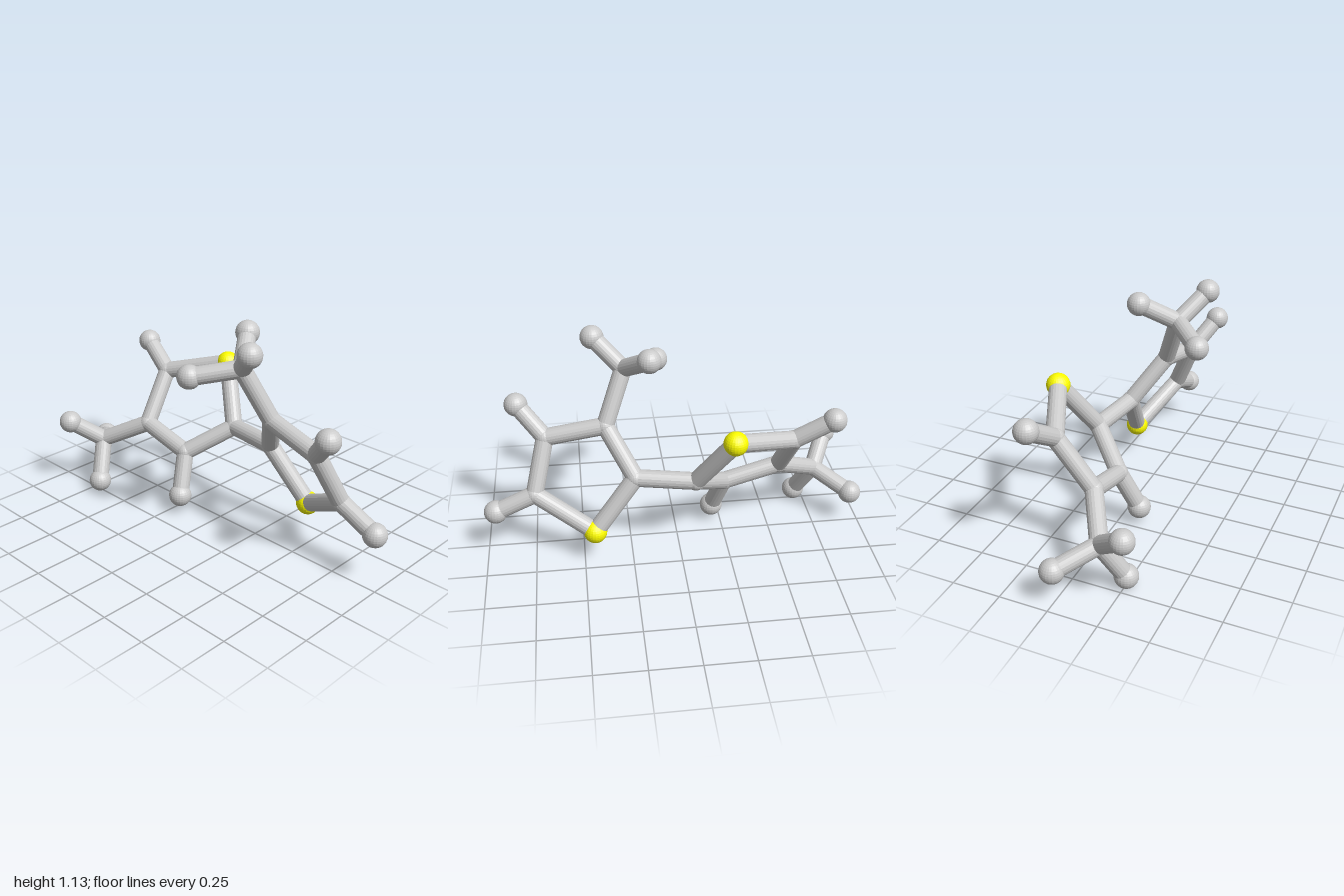
import * as THREE from 'three';

const STICK_RADIUS = 0.045;
const BALL_RADIUS = 0.06;
const JOINT_RADIUS = 0.048;

// Ring corners in order, starting at the yellow ball; 'tips' are [corner, end ball]
const leftRing = {
  corners: [[-0.245, 0.735, -0.31], [-0.075, 0.45, -0.18], [-0.25, 0.31, 0.015], [-0.54, 0.39, 0.02], [-0.57, 0.645, -0.16]],
  tips: [[2, [-0.2, 0.1, 0.105]], [4, [-0.755, 0.765, -0.2]]],
  branch: { corner: 3, hub: [-0.77, 0.265, 0.155], ends: [[-0.86, 0.39, 0.31], [-0.94, 0.19, 0], [-0.695, 0.065, 0.255]] },
};
const rightRing = {
  corners: [[0.44, 0.187, -0.185], [0.225, 0.46, -0.13], [0.36, 0.685, 0.02], [0.665, 0.62, 0.055], [0.735, 0.355, -0.06]],
  tips: [[3, [0.8, 0.765, 0.15]], [4, [0.94, 0.262, -0.058]]],
  branch: { corner: 2, hub: [0.255, 0.95, 0.12], ends: [[0.138, 1.062, -0.045], [0.4, 1.08, 0.225], [0.075, 0.908, 0.29]] },
};

export function createModel() {
  const model = new THREE.Group();
  model.name = 'ballAndStickModel';
  const grey = new THREE.MeshStandardMaterial({ color: 0xcccccc, flatShading: true });
  const yellow = new THREE.MeshStandardMaterial({ color: 0xffff00, flatShading: true });
  const ballGeometry = new THREE.SphereGeometry(BALL_RADIUS, 24, 16);
  const jointGeometry = new THREE.SphereGeometry(JOINT_RADIUS, 24, 16);
  const up = new THREE.Vector3(0, 1, 0);

  function ball(parent, name, at, geometry, material = grey) {
    const mesh = new THREE.Mesh(geometry, material);
    mesh.name = name;
    mesh.position.set(...at);
    parent.add(mesh);
  }

  // Cylinder running between two points
  function stick(parent, name, from, to) {
    const a = new THREE.Vector3(...from);
    const b = new THREE.Vector3(...to);
    const direction = b.clone().sub(a);
    const geometry = new THREE.CylinderGeometry(STICK_RADIUS, STICK_RADIUS, direction.length(), 20);
    const mesh = new THREE.Mesh(geometry, grey);
    mesh.name = name;
    mesh.position.copy(a).add(b).multiplyScalar(0.5);
    mesh.quaternion.setFromUnitVectors(up, direction.normalize());
    parent.add(mesh);
  }

  // Five-sided ring with its single tips and its three-armed branch
  function ring(name, { corners, tips, branch }) {
    const group = new THREE.Group();
    group.name = name;
    corners.forEach((corner, i) => {
      if (i === 0) ball(group, 'yellowBall', corner, ballGeometry, yellow);
      else ball(group, 'ringJoint', corner, jointGeometry);
      stick(group, 'ringStick', corner, corners[(i + 1) % corners.length]);
    });
    for (const [corner, end] of tips) {
      stick(group, 'tipStick', corners[corner], end);
      ball(group, 'tipBall', end, ballGeometry);
    }
    stick(group, 'branchStem', corners[branch.corner], branch.hub);
    ball(group, 'branchHub', branch.hub, jointGeometry);
    for (const end of branch.ends) {
      stick(group, 'branchArm', branch.hub, end);
      ball(group, 'branchBall', end, ballGeometry);
    }
    model.add(group);
  }

  ring('leftHandRing', rightRing);
  ring('rightHandRing', leftRing);
  stick(model, 'bridgeStick', leftRing.corners[1], rightRing.corners[1]);
  return model;
}
